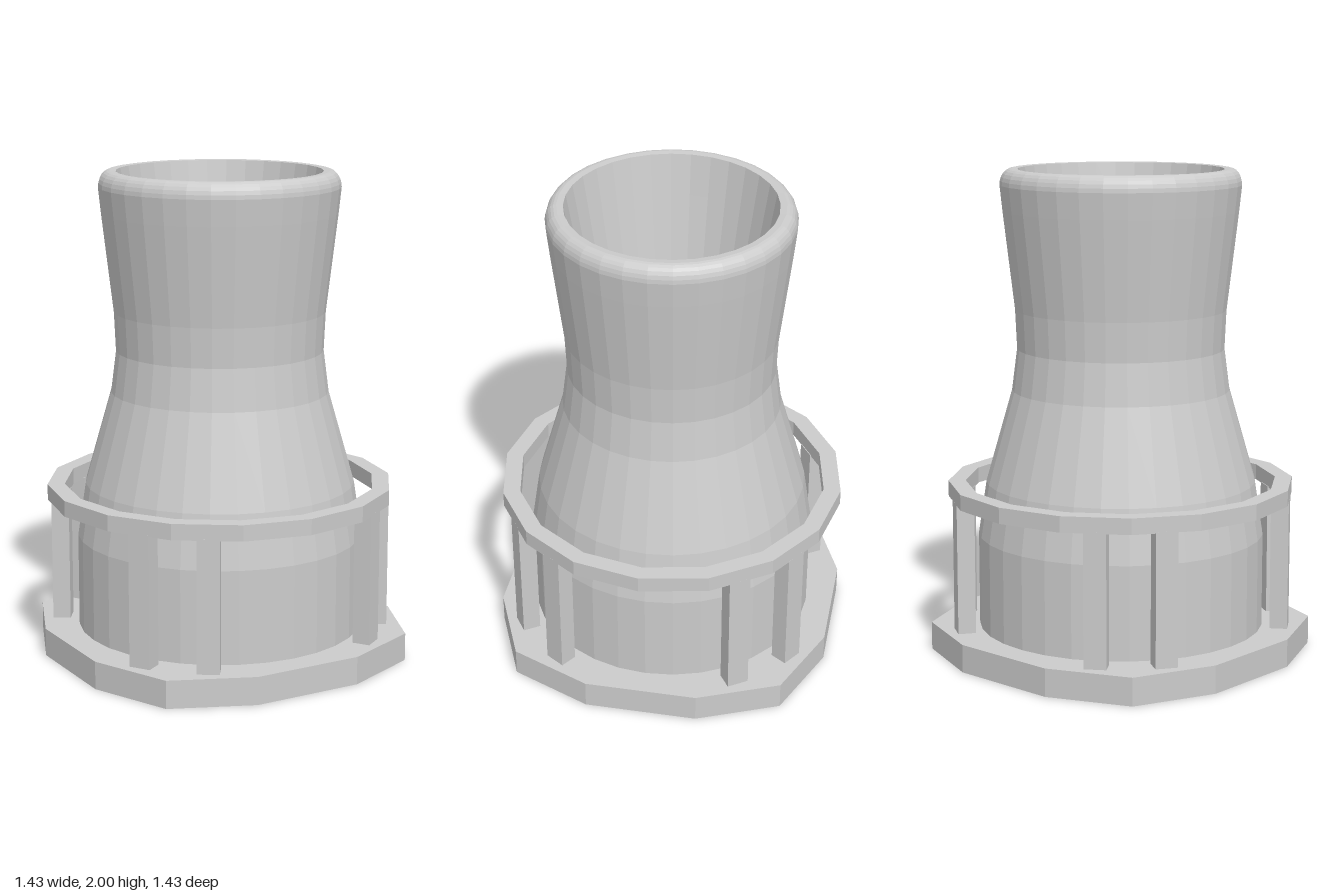
import * as THREE from 'three';

const mat = new THREE.MeshStandardMaterial({ color: 0xcccccc, flatShading: true });
const thinMat = new THREE.MeshStandardMaterial({ color: 0xcccccc, flatShading: true, side: THREE.DoubleSide });

function add(parent, name, geometry, material = mat) {
  const mesh = new THREE.Mesh(geometry, material);
  mesh.name = name;
  parent.add(mesh);
  return mesh;
}

function lathe(points, sides) {
  return new THREE.LatheGeometry(points.map(([r, y]) => new THREE.Vector2(r, y)), sides);
}

// Regular polygon with corners on the axes
function polygon(radius, sides) {
  return Array.from({ length: sides }, (_, i) => {
    const a = (i / sides) * Math.PI * 2;
    return new THREE.Vector2(radius * Math.cos(a), radius * Math.sin(a));
  });
}

// Foundation: a thin twelve-sided tray, top and rim only, open underneath
function slabGeometry(height) {
  const corners = [];
  for (let q = 0; q < 4; q++) {
    for (const [x, y] of [[0.7, 0.23], [0.56, 0.56], [0.23, 0.7]]) {
      corners.push(new THREE.Vector2(x, y).rotateAround(new THREE.Vector2(), q * Math.PI / 2));
    }
  }
  const section = [[1, 0], [1, height], [0, height]];
  const g = lathe(section, corners.length);
  const pos = g.attributes.position;
  for (let i = 0; i < pos.count; i++) {
    const corner = corners[Math.floor(i / section.length) % corners.length];
    const [r, y] = section[i % section.length];
    pos.setXYZ(i, corner.y * r, y, corner.x * r);
  }
  return g;
}

export function createModel() {
  const group = new THREE.Group();
  group.name = 'coolingTower';

  const slabTop = 0.115;
  const foot = slabTop - 0.003;
  add(group, 'baseSlab', slabGeometry(slabTop), thinMat);

  // Waisted shell: underside, outer wall, rounded lip, inner funnel and shallow floor
  const lip = Array.from({ length: 7 }, (_, i) => {
    const a = (i / 6) * Math.PI / 2;
    return [0.444 + 0.046 * Math.cos(a), 1.935 + 0.065 * Math.sin(a)];
  });
  add(group, 'towerShell', lathe([
    [0, foot], [0.59, foot], [0.59, 0.5], [0.556, 0.72], [0.447, 1.1], [0.425, 1.27], [0.432, 1.43],
    [0.479, 1.83], ...lip, [0.418, 1.998],
    [0.39, 1.83], [0.3, 1.3], [0.275, 1.29], [0, 1.285],
  ], 32));

  // Ring walkway around the shell
  const ring = new THREE.Shape(polygon(0.713, 16));
  ring.holes.push(new THREE.Path(polygon(0.642, 16)));
  const ringGeometry = new THREE.ExtrudeGeometry(ring, { depth: 0.065, bevelEnabled: false });
  add(group, 'ringWalkway', ringGeometry.rotateX(-Math.PI / 2).translate(0, 0.655, 0));

  // Four pairs of posts, one pair on each diagonal
  const posts = new THREE.Group();
  posts.name = 'supportPosts';
  group.add(posts);
  const postHeight = 0.66 - foot;
  for (let q = 0; q < 4; q++) {
    for (const side of [-1, 1]) {
      const a = Math.PI / 4 + q * Math.PI / 2 + side * THREE.MathUtils.degToRad(11.5);
      const post = add(posts, 'supportPost', new THREE.BoxGeometry(0.09, postHeight, 0.073));
      post.position.set(0.663 * Math.sin(a), foot + postHeight / 2, 0.663 * Math.cos(a));
      post.rotation.y = a;
    }
  }
  return group;
}
